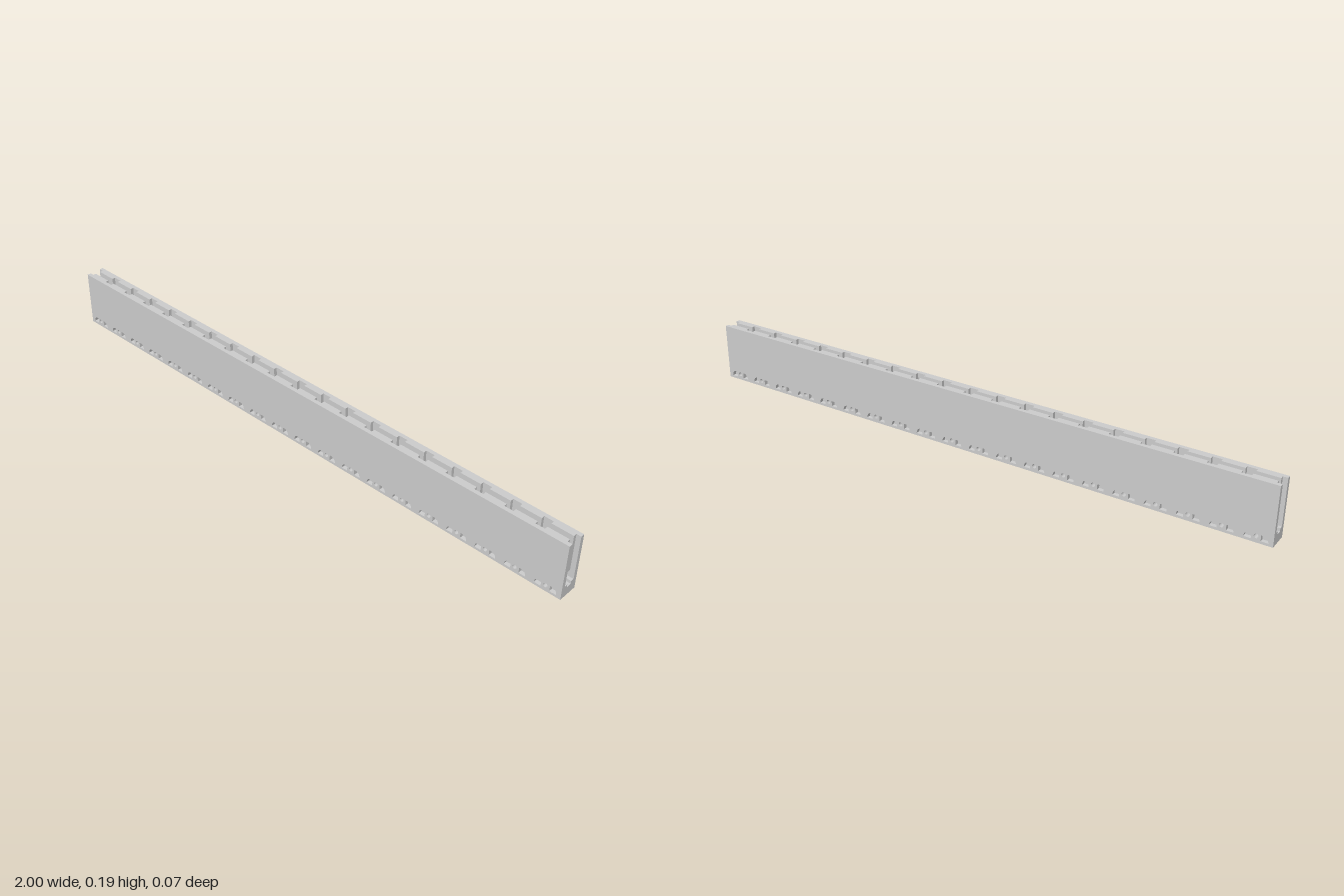
import * as THREE from 'three';

const COUNT = 20, PITCH = 0.1;
const HEIGHT = 0.19, HALF_DEPTH = 0.033, INNER = 0.02, SLOT = 0.009;
const FLOOR = 0.03, LEDGE = 0.04, RIB_BOTTOM = 0.063;

const material = new THREE.MeshStandardMaterial({ color: 0xcccccc, flatShading: true });

function addMesh(parent, name, geometry, x, y, z) {
  const mesh = new THREE.Mesh(geometry, material);
  mesh.name = name;
  mesh.position.set(x, y, z);
  parent.add(mesh);
  return mesh;
}

// One module-long plate in the XY plane
function plate(height) {
  const h = PITCH / 2;
  const shape = new THREE.Shape();
  shape.moveTo(-h, 0).lineTo(h, 0).lineTo(h, height).lineTo(-h, height).closePath();
  return shape;
}

// Round opening that runs right through the base
function centreHole() {
  return new THREE.Path().absarc(0, 0.02, 0.007, 0, Math.PI * 2, true);
}

// Arched pocket beside the opening
function sidePocket(side) {
  const path = new THREE.Path();
  path.moveTo(side * 0.014, 0.008);
  path.lineTo(side * 0.014, 0.026);
  path.quadraticCurveTo(side * 0.034, 0.03, side * 0.036, 0.008);
  path.closePath();
  return path;
}

function extrude(shape, depth) {
  return new THREE.ExtrudeGeometry(shape, { depth, bevelEnabled: false, curveSegments: 8 });
}

export function createModel() {
  const model = new THREE.Group();
  model.name = 'slottedChannel';

  const wallShape = plate(HEIGHT);
  wallShape.holes.push(centreHole(), sidePocket(1), sidePocket(-1));
  const wall = extrude(wallShape, HALF_DEPTH - INNER);

  const floorShape = plate(FLOOR);
  floorShape.holes.push(centreHole());
  const floor = extrude(floorShape, 2 * INNER);

  const depth = INNER - SLOT;
  const ledge = new THREE.BoxGeometry(PITCH, LEDGE - FLOOR, depth);
  const rib = new THREE.BoxGeometry(0.07, HEIGHT - RIB_BOTTOM, depth);

  for (let i = 0; i < COUNT; i++) {
    const section = new THREE.Group();
    section.name = 'channelSection';
    section.position.x = (i - (COUNT - 1) / 2) * PITCH;
    model.add(section);

    // Floor and the two perforated side walls
    addMesh(section, 'floor', floor, 0, 0, -INNER);
    addMesh(section, 'frontWall', wall, 0, 0, INNER);
    addMesh(section, 'backWall', wall, 0, 0, -HALF_DEPTH);

    // Stepped ledge and hanging rib on the inside of each wall
    for (const side of [1, -1]) {
      const z = side * (SLOT + INNER) / 2;
      addMesh(section, 'ledge', ledge, 0, (FLOOR + LEDGE) / 2, z);
      addMesh(section, 'innerRib', rib, 0, (RIB_BOTTOM + HEIGHT) / 2, z);
    }
  }
  return model;
}
